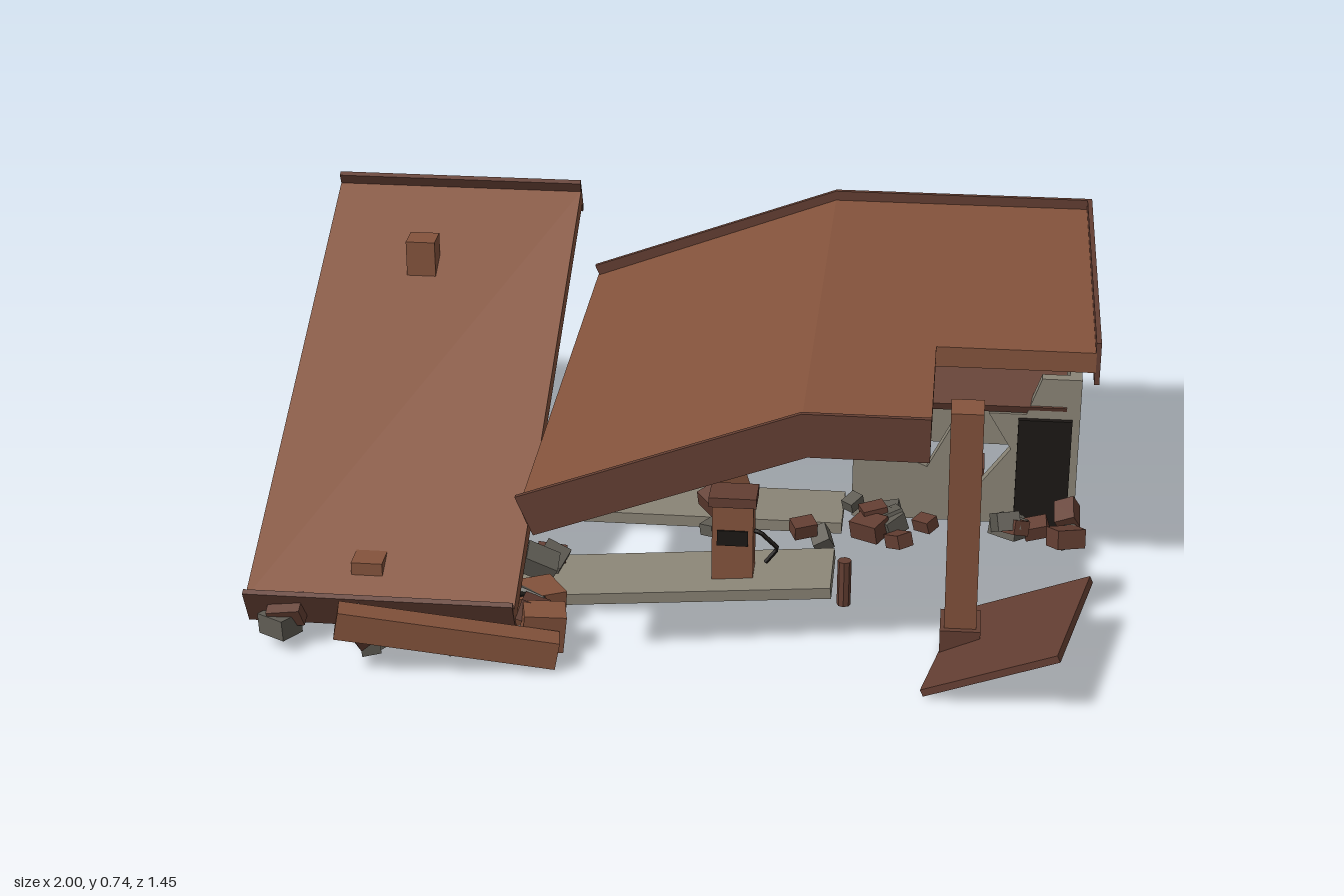
import * as THREE from 'three';

const mat = (color) => new THREE.MeshStandardMaterial({ color, flatShading: true, side: THREE.DoubleSide });
const BROWN = mat(0x84533c), TRIM = mat(0x633e32), GREY = mat(0x8a8476), STONE = mat(0x5f5c54), BLACK = mat(0x1c1815);

export function createModel() {
  const root = new THREE.Group();

  const group = (name, x = 0, y = 0, z = 0, rot = [0, 0, 0], parent = root) => {
    const g = new THREE.Group();
    g.name = name;
    g.position.set(x, y, z);
    g.rotation.set(...rot, 'YXZ');
    parent.add(g);
    return g;
  };
  const add = (name, geo, material, parent = root) => {
    const m = new THREE.Mesh(geo, material);
    m.name = name;
    parent.add(m);
    return m;
  };
  const box = (name, size, pos, material, parent = root, rot = [0, 0, 0]) => {
    const m = add(name, new THREE.BoxGeometry(...size), material, parent);
    m.position.set(...pos);
    m.rotation.set(...rot, 'YXZ');
    return m;
  };
  // Flat outline in x and y, drawn out from z0 to z1
  const sheet = (name, pts, z0, z1, material, parent = root) => {
    const shape = new THREE.Shape(pts.map(([x, y]) => new THREE.Vector2(x, y)));
    const geo = new THREE.ExtrudeGeometry(shape, { depth: z1 - z0, bevelEnabled: false });
    return add(name, geo.translate(0, 0, z0), material, parent);
  };

  // Main canopy: level on one side, sagging on the other, one corner torn off
  const deck = (r) => [[r, 0.7], [0.32, 0.7], [-0.312, 0.46], [-0.295, 0.415], [0.33, 0.65], [r, 0.65]];
  const lip = (r) => [[r, 0.725], [0.32, 0.725], [-0.32, 0.487], [-0.28, 0.393], [0.335, 0.62], [r, 0.62]];
  const canopy = group('mainCanopy');
  sheet('deckBack', deck(0.975), -0.67, 0.25, BROWN, canopy);
  sheet('deckFront', deck(0.605), 0.25, 0.69, BROWN, canopy);
  sheet('fasciaBack', lip(0.985), -0.68, -0.668, TRIM, canopy);
  sheet('fasciaFront', lip(0.605), 0.688, 0.7, TRIM, canopy);
  box('fasciaSide', [0.012, 0.105, 0.93], [0.979, 0.6725, -0.215], TRIM, canopy);

  // Fallen canopy half, leaning from its rear column down to the ground
  const fallen = group('fallenCanopy', -0.678, 0.725, -0.665, [0.449, 0, 0]);
  box('fallenDeck', [0.645, 0.047, 1.36], [0, -0.053, 0.685], BROWN, fallen);
  for (const z of [0, 1.365]) box('fallenFascia', [0.645, 0.105, 0.014], [0, -0.0525, z], TRIM, fallen);

  // Columns on footing blocks
  const column = (x, z, h, rot) => {
    const g = group('column', x, 0, z, rot);
    box('columnShaft', [0.075, h, 0.07], [0, h / 2, 0], BROWN, g);
    box('columnFooting', [0.095, 0.08, 0.095], [0, 0.04, 0], TRIM, g);
  };
  column(-0.735, -0.42, 0.65, [0, 0, 0]);
  column(-0.72, 0.44, 0.175, [0, 0, 0]);
  column(0.69, -0.42, 0.655, [0, 0, 0]);
  column(0.69, 0.43, 0.655, [0.065, 0, 0.01]);

  // Torn canopy corner around the front column
  box('tornCorner', [0.345, 0.018, 0.392], [0.8, 0.08, 0.495], TRIM, root, [0, -0.21, 0.44]);

  // Kiosk with broken walls
  const kiosk = group('kiosk');
  box('backWall', [0.57, 0.41, 0.03], [0.685, 0.205, -0.705], GREY, kiosk);
  sheet('frontWall', [[0.4, 0], [0.97, 0], [0.97, 0.41], [0.87, 0.41], [0.835, 0.31], [0.74, 0.31], [0.8, 0.21],
    [0.72, 0.1], [0.655, 0.28], [0.59, 0.15], [0.43, 0.22], [0.43, 0.33], [0.4, 0.33]], -0.26, -0.23, GREY, kiosk);
  // Side outlines run along depth, turned to face sideways
  const wedge = [[0.26, 0], [0.69, 0], [0.69, 0.008], [0.26, 0.12]];
  const shard = [[0.26, 0.17], [0.32, 0.325], [0.395, 0.275], [0.43, 0.31], [0.42, 0.275], [0.5, 0.41], [0.26, 0.41]];
  const lowShard = [[0.26, 0.17], [0.32, 0.32], [0.395, 0.275], [0.43, 0.31], [0.46, 0.37], [0.26, 0.33]];
  for (const [x, top] of [[0.97, shard], [0.43, lowShard]]) {
    for (const pts of [wedge, top]) {
      const wall = sheet('sideWallPiece', pts, 0, 0.03, GREY, kiosk);
      wall.rotation.y = Math.PI / 2;
      wall.position.x = x - 0.03;
    }
  }
  for (const x of [0.415, 0.955]) box('cornerPost', [0.03, 0.41, 0.03], [x, 0.205, -0.705], GREY, kiosk);
  box('kioskRoofBack', [0.59, 0.025, 0.265], [0.685, 0.423, -0.5975], TRIM, kiosk);
  box('kioskRoofFront', [0.53, 0.022, 0.26], [0.67, 0.372, -0.35], TRIM, kiosk, [0.39, 0, 0]);
  box('door', [0.135, 0.3, 0.014], [0.883, 0.15, -0.222], BLACK, kiosk);

  // Pump islands: trays open underneath
  const island = (y, z, rot) => {
    const g = group('pumpIsland', -0.02, y, z, rot);
    box('islandTop', [0.8, 0.008, 0.18], [0, 0.026, 0], GREY, g);
    for (const s of [-1, 1]) {
      box('islandSide', [0.8, 0.028, 0.014], [0, 0.014, s * 0.083], GREY, g);
      box('islandEnd', [0.014, 0.028, 0.166], [s * 0.393, 0.014, 0], GREY, g);
    }
  };
  island(0, -0.215, [0, 0, 0]);
  island(0.033, 0.235, [0.08, 0, 0.088]);

  // Fuel pumps with a display on each face and a hanging hose
  const pump = (x, y, z, rot, hose = true) => {
    const g = group('fuelPump', x, y, z, rot);
    box('pumpBody', [0.1, 0.2, 0.07], [0, 0.1, 0], BROWN, g);
    box('pumpCap', [0.115, 0.025, 0.085], [0, 0.212, 0], TRIM, g);
    for (const s of [-1, 1]) box('pumpDisplay', [0.075, 0.04, 0.006], [0, 0.115, s * 0.036], BLACK, g);
    if (!hose) return;
    const path = new THREE.CurvePath();
    const pts = [[0.05, 0.12], [0.066, 0.115], [0.108, 0.075], [0.078, 0.035]].map(([a, b]) => new THREE.Vector3(a, b, 0));
    for (let i = 0; i < 3; i++) path.add(new THREE.LineCurve3(pts[i], pts[i + 1]));
    add('pumpHose', new THREE.TubeGeometry(path, 12, 0.006, 5), BLACK, g);
  };
  pump(0.135, 0.07, 0.24, [0, 0, 0]);
  pump(-0.31, 0.03, -0.215, [0, 0, 0], true);
  pump(0.1, 0.035, -0.205, [0, 0.3, 0.3], false);
  pump(-0.28, 0.05, 0.36, [1.5, -1.0, 0]);

  // Fallen beam, block and bollard
  box('fallenBeam', [0.52, 0.07, 0.06], [-0.5, 0.083, 0.635], BROWN, root, [0, 0.16, -0.19]);
  box('fallenBlock', [0.1, 0.1, 0.07], [-0.29, 0.06, 0.53], BROWN, root, [0.1, 0.2, -0.1]);
  const bollard = add('bollard', new THREE.CylinderGeometry(0.017, 0.017, 0.12, 8), TRIM);
  bollard.position.set(0.405, 0.06, 0.24);

  // Rubble heaps: x, z, spread in x, spread in z, count
  let seed = 11;
  const rnd = () => (seed = (seed * 16807) % 2147483647) / 2147483647;
  const rubble = group('rubble');
  for (const [cx, cz, sx, sz, n] of [[-0.65, 0.57, 0.17, 0.05, 9], [-0.92, 0.55, 0.03, 0.02, 2], [-0.42, 0.5, 0.1, 0.1, 6],
    [0.5, -0.12, 0.1, 0.08, 9], [0.87, -0.13, 0.08, 0.07, 8], [0.32, -0.05, 0.05, 0.03, 2], [0.03, -0.1, 0.05, 0.04, 2],
    [-0.36, 0.2, 0.05, 0.06, 4], [0.62, -0.5, 0.1, 0.05, 2]]) {
    for (let i = 0; i < n; i++) {
      const s = 0.035 + rnd() * 0.03;
      box('rubbleBlock', [s * 1.3, s * 0.8, s],
        [cx + (rnd() * 2 - 1) * sx, s * 0.78 + (i % 3 === 0 ? 0.03 : 0), cz + (rnd() * 2 - 1) * sz],
        i % 2 ? STONE : TRIM, rubble, [rnd() - 0.5, rnd() * 3, rnd() - 0.5]);
    }
  }
  return root;
}
